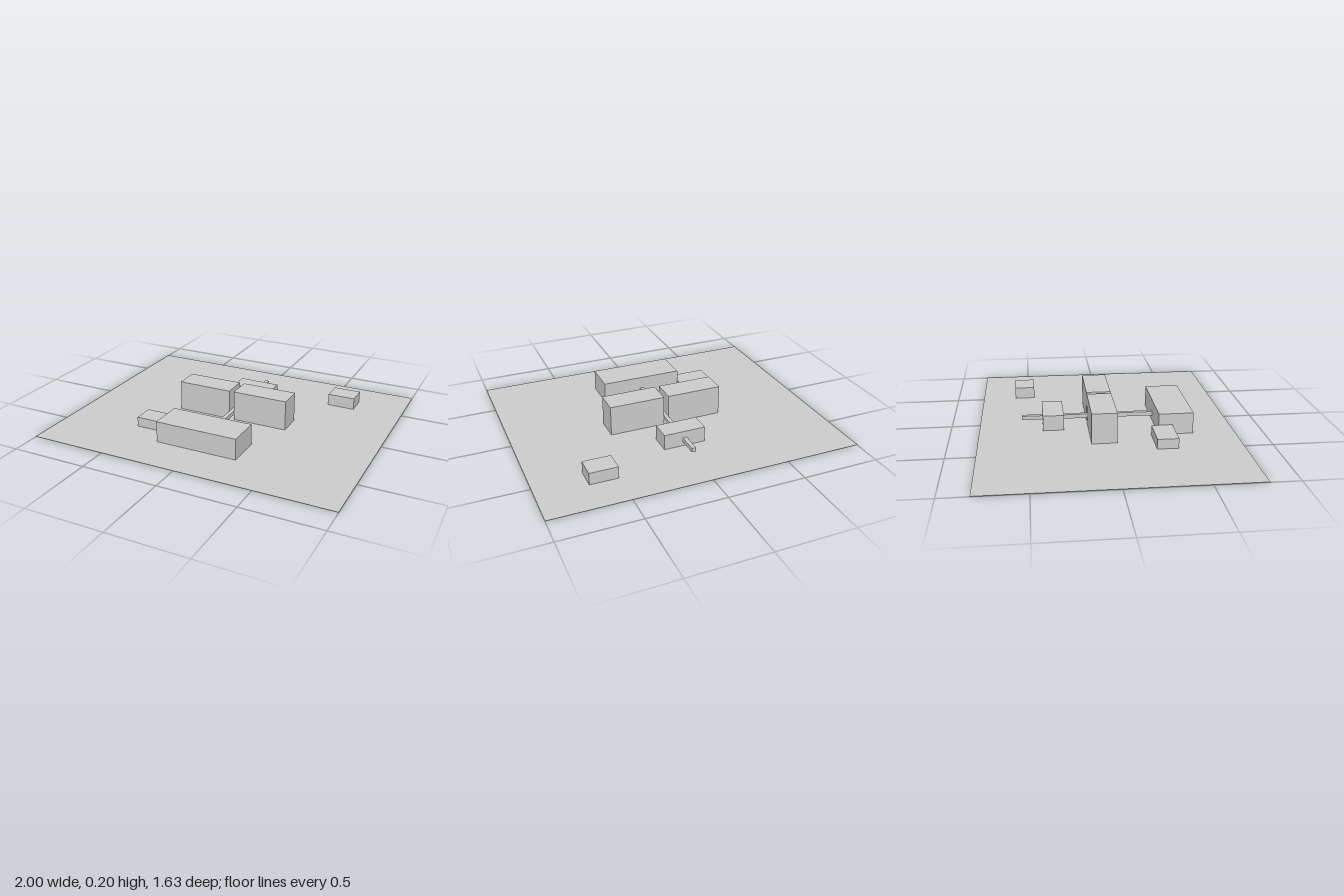
import * as THREE from 'three';

const material = new THREE.MeshStandardMaterial({ color: 0xcccccc, flatShading: true });

// Box given by its extents along each axis
function block(name, [x0, x1], [y0, y1], [z0, z1]) {
  const mesh = new THREE.Mesh(new THREE.BoxGeometry(x1 - x0, y1 - y0, z1 - z0), material);
  mesh.position.set((x0 + x1) / 2, (y0 + y1) / 2, (z0 + z1) / 2);
  mesh.name = name;
  return mesh;
}

export function createModel() {
  const group = new THREE.Group();
  group.name = 'buildingComplex';

  // Thin site slab
  group.add(block('ground', [-1, 1], [0, 0.003], [-0.817, 0.817]));

  // Front building with its low annex
  group.add(block('frontBuilding', [-0.272, 0.272], [0, 0.141], [0.322, 0.545]));
  group.add(block('annex', [-0.5, -0.274], [0, 0.067], [0.275, 0.409]));

  // Twin tall halls either side of the corridor
  group.add(block('leftHall', [0.016, 0.381], [0, 0.201], [-0.115, 0.046]));
  group.add(block('rightHall', [-0.381, -0.016], [0, 0.201], [-0.115, 0.046]));

  // Rear building and detached outbuilding
  group.add(block('rearBuilding', [-0.137, 0.137], [0, 0.104], [-0.408, -0.273]));
  group.add(block('outbuilding', [0.5, 0.681], [0, 0.081], [-0.59, -0.455]));

  // Raised corridor running front to back
  group.add(block('corridor', [-0.0135, 0.0135], [0.033, 0.06], [-0.543, 0.33]));

  return group;
}
